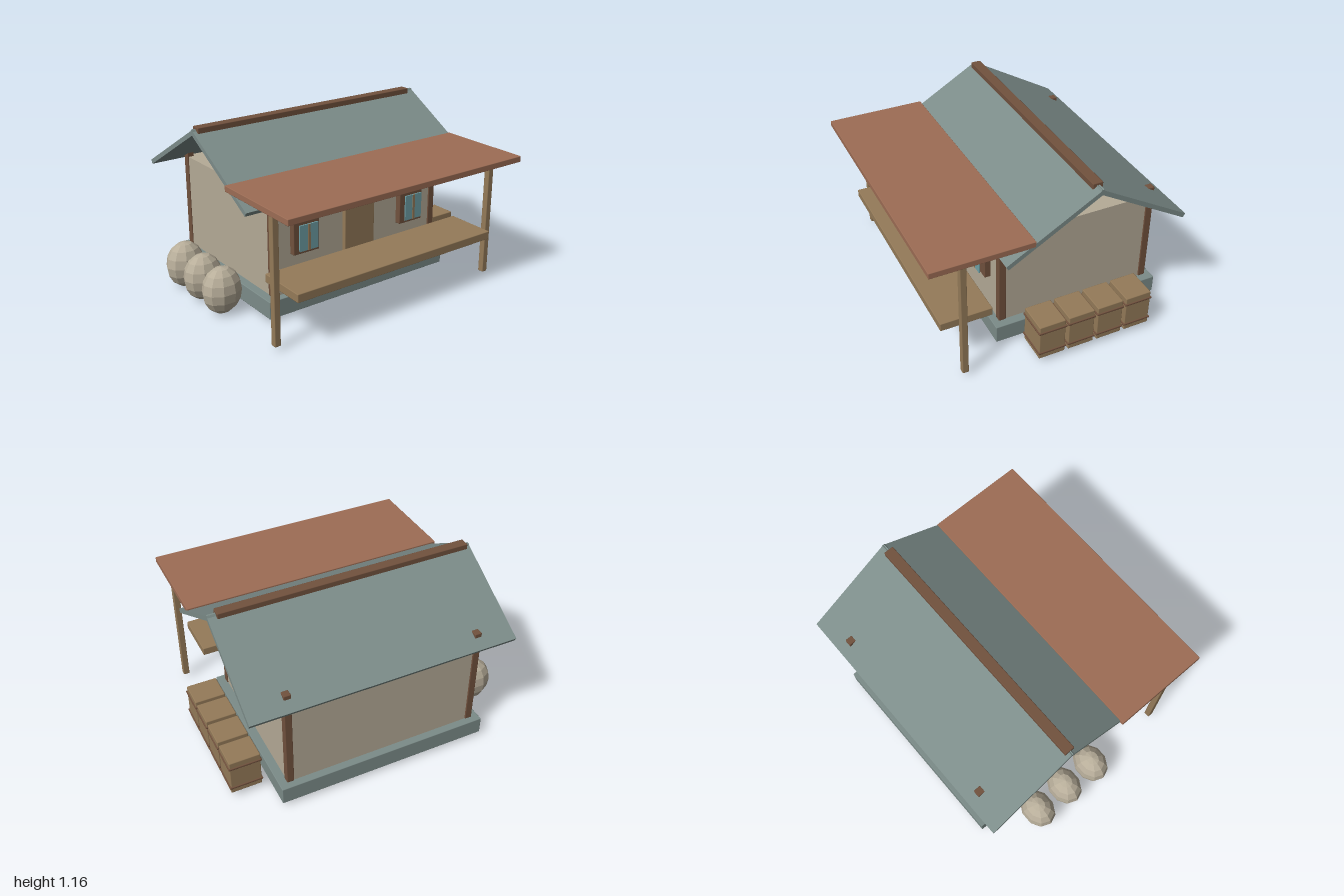
import * as THREE from 'three';
import { RoundedBoxGeometry } from 'three/addons/geometries/RoundedBoxGeometry.js';

const mat = (name, color, extra = {}) => {
  const m = new THREE.MeshStandardMaterial({ color, ...extra });
  m.name = name;
  return m;
};

export function createModel() {
  const model = new THREE.Group();
  model.name = 'marketHut';

  const slate = mat('slate', 0x7c8c89);
  const plaster = mat('plaster', 0xb5ab97);
  const sackcloth = mat('sackcloth', 0xb8ae9a, { flatShading: true });
  const darkWood = mat('darkWood', 0x72523e);
  const paleWood = mat('paleWood', 0x957b59);
  const clay = mat('clay', 0x9d6d55);
  const glass = mat('glass', 0x70a2a8);

  // Box given by its extents, with an optional small bevel
  const box = (name, material, [x0, x1], [y0, y1], [z0, z1], bevel = 0.005, parent = model) => {
    const s = [x1 - x0, y1 - y0, z1 - z0];
    const geo = bevel ? new RoundedBoxGeometry(...s, 1, bevel) : new THREE.BoxGeometry(...s);
    const mesh = new THREE.Mesh(geo, material);
    mesh.name = name;
    mesh.position.set((x0 + x1) / 2, (y0 + y1) / 2, (z0 + z1) / 2);
    parent.add(mesh);
    return mesh;
  };
  const around = (c, w) => [c - w / 2, c + w / 2];

  // House body
  box('foundation', slate, [-0.71, 0.73], [0.03, 0.15], [-0.82, 0.35]);
  box('walls', plaster, [-0.652, 0.672], [0.15, 0.8], [-0.77, 0.3], 0);
  for (const x of [-0.635, 0.655]) {
    for (const z of [-0.753, 0.283]) {
      box('cornerPost', darkWood, around(x, 0.048), [0.15, 0.862], around(z, 0.05));
    }
  }
  box('frontBeam', darkWood, [-0.66, 0.68], [0.72, 0.765], [0.29, 0.34]);
  box('door', paleWood, [-0.11, 0.13], [0.15, 0.64], [0.29, 0.33]);

  // Windows
  for (const x of [-0.42, 0.44]) {
    const win = new THREE.Group();
    win.name = 'window';
    model.add(win);
    box('windowFrame', darkWood, around(x, 0.195), [0.41, 0.635], [0.29, 0.34], 0.005, win);
    box('windowGlass', glass, around(x, 0.14), [0.438, 0.612], [0.358, 0.367], 0, win);
    box('windowBar', paleWood, around(x, 0.018), [0.438, 0.612], [0.36, 0.371], 0, win);
  }

  // Gabled roof, both slopes hinged at the ridge
  for (const side of [1, -1]) {
    const slope = new THREE.Group();
    slope.name = side > 0 ? 'frontRoof' : 'backRoof';
    slope.position.set(0, 1.147, -0.235);
    slope.rotation.x = side * Math.PI / 6;
    const z = side > 0 ? [-0.008, 0.708] : [-0.708, 0.008];
    box('roofSlab', slate, [-0.875, 0.92], [-0.03, 0], z, 0, slope);
    model.add(slope);
  }
  box('ridgeBeam', darkWood, [-0.85, 0.865], [1.1, 1.164], [-0.268, -0.2]);

  // Canopy and counter
  box('canopy', clay, [-0.9, 0.92], [0.875, 0.915], [0.185, 0.85], 0.004);
  for (const x of [-0.85, 0.868]) {
    box('canopyPost', paleWood, around(x, 0.042), [0.03, 0.88], around(0.63, 0.042));
  }
  box('counter', paleWood, [-0.77, 0.785], [0.33, 0.386], [0.4, 0.745]);

  // Row of banded crates
  for (let i = 0; i < 4; i++) {
    const crate = new THREE.Group();
    crate.name = 'crate';
    model.add(crate);
    const z = 0.09 - i * 0.204;
    box('crateBody', paleWood, [0.782, 0.988], [0.042, 0.298], around(z, 0.18), 0.006, crate);
    for (const y of [0.087, 0.25]) {
      box('crateBand', darkWood, [0.775, 0.995], around(y, 0.014), around(z, 0.194), 0.004, crate);
    }
  }

  // Sacks on the other side
  const sackGeo = new THREE.SphereGeometry(1, 10, 8);
  for (let i = 0; i < 3; i++) {
    const sack = new THREE.Mesh(sackGeo, sackcloth);
    sack.name = 'sack';
    sack.scale.set(0.136, 0.16, 0.108);
    sack.position.set(-0.864, 0.16, 0.032 - i * 0.242);
    model.add(sack);
  }

  return model;
}
